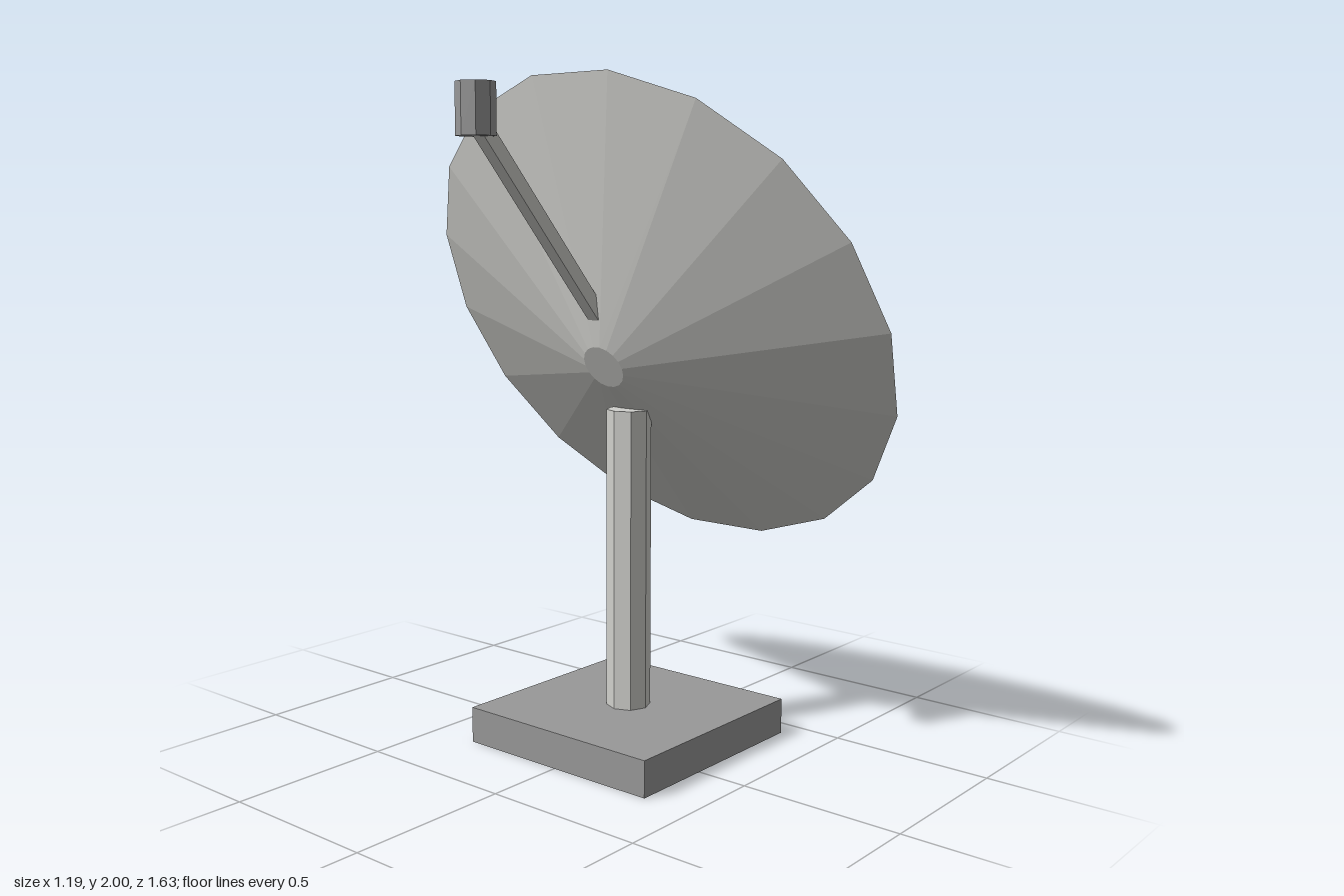
import * as THREE from 'three';

export function createModel() {
  const model = new THREE.Group();
  const paleGrey = new THREE.MeshStandardMaterial({ color: 0xd0d0cc, flatShading: true });
  paleGrey.name = 'pale grey';
  const midGrey = new THREE.MeshStandardMaterial({ color: 0x989898, flatShading: true });
  midGrey.name = 'mid grey';

  const add = (name, geometry, material, x, y) => {
    const mesh = new THREE.Mesh(geometry, material);
    mesh.name = name;
    mesh.position.set(x, y, 0);
    model.add(mesh);
    return mesh;
  };
  const up = new THREE.Vector3(0, 1, 0);

  // Square base and octagonal mast
  add('base', new THREE.BoxGeometry(0.68, 0.11, 0.68), midGrey, 0.085, 0.055);
  add('mast', new THREE.CylinderGeometry(0.068, 0.068, 0.92, 8), paleGrey, 0.085, 0.57);

  // Closed dish: wide flat face tilted up to +x, narrow hub behind
  const depth = 0.27;
  const axis = new THREE.Vector3(0.878, 0.479, 0).normalize();
  const dishGeometry = new THREE.CylinderGeometry(0.816, 0.07, depth, 18);
  dishGeometry.translate(0, -depth / 2, 0);
  const dish = add('dish', dishGeometry, paleGrey, 0.205, 1.295);
  dish.quaternion.setFromUnitVectors(up, axis);

  // Arm from the back of the dish to the feed horn
  const start = new THREE.Vector3(-0.03, 1.285, 0);
  const end = new THREE.Vector3(-0.535, 1.85, 0);
  const along = end.clone().sub(start);
  const middle = start.clone().add(end).multiplyScalar(0.5);
  const arm = add('feedArm', new THREE.BoxGeometry(0.042, along.length(), 0.04), paleGrey, middle.x, middle.y);
  arm.quaternion.setFromUnitVectors(up, along.normalize());

  // Octagonal feed horn
  add('feedHorn', new THREE.CylinderGeometry(0.054, 0.054, 0.14, 8), midGrey, -0.542, 1.885);

  return model;
}
